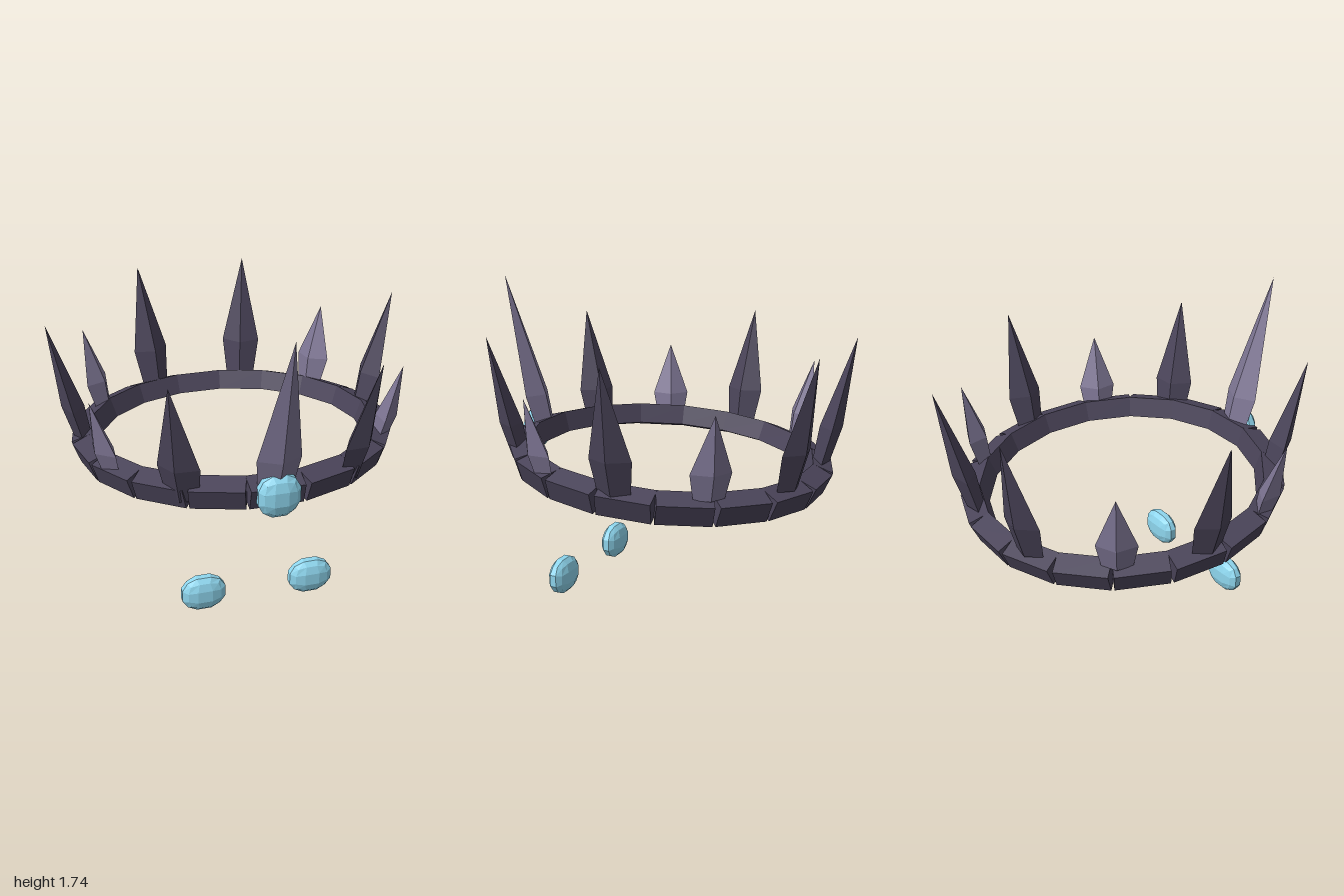
import * as THREE from 'three';

const flat = (color) => new THREE.MeshStandardMaterial({ color, flatShading: true });
const CENTER_Z = -0.065; // centre of the ring

// Faceted gem: a 3x3x3 box pushed onto an ellipsoid with the given half sizes
function gem(name, material, x, y, z, hx, hy, hz) {
  const geo = new THREE.BoxGeometry(2, 2, 2, 3, 3, 3);
  const p = geo.attributes.position;
  const v = new THREE.Vector3();
  for (let i = 0; i < p.count; i++) {
    v.fromBufferAttribute(p, i).normalize().divideScalar(0.905);
    p.setXYZ(i, v.x * hx, v.y * hy, v.z * hz);
  }
  geo.computeVertexNormals();
  const mesh = new THREE.Mesh(geo, material);
  mesh.name = name;
  mesh.position.set(x, y, z);
  return mesh;
}

// Four-sided spike, flattened front to back and leaning outward to its tip
function spike(name, material, tipX, tipY, tipZ, baseY, baseRadius, halfWidth, shoulder) {
  const angle = Math.atan2(tipX, tipZ - CENTER_Z);
  const tipRadius = Math.hypot(tipX, tipZ - CENTER_Z);
  const height = tipY - baseY;
  const geo = new THREE.LatheGeometry([
    new THREE.Vector2(0, 0),
    new THREE.Vector2(halfWidth * 0.76, 0),
    new THREE.Vector2(halfWidth, shoulder),
    new THREE.Vector2(0, height),
  ], 4);
  const p = geo.attributes.position;
  const lean = (tipRadius - baseRadius) / height;
  for (let i = 0; i < p.count; i++) p.setZ(i, p.getZ(i) * 0.55 + p.getY(i) * lean);
  geo.computeVertexNormals();
  const mesh = new THREE.Mesh(geo, material);
  mesh.name = name;
  mesh.rotation.y = angle;
  mesh.position.set(Math.sin(angle) * baseRadius, baseY, CENTER_Z + Math.cos(angle) * baseRadius);
  return mesh;
}

export function createModel() {
  const model = new THREE.Group();
  model.name = 'spikedCrown';
  const dark = flat(0x4a4459);
  const pale = flat(0x7d7593);
  const blue = flat(0x8ed6ee);

  // Tilted ring of 18 blocks, each rolled slightly outward
  const ring = new THREE.Group();
  ring.name = 'ring';
  ring.position.set(0, 0.795, CENTER_Z);
  ring.rotation.x = -0.077;
  const block = new THREE.BoxGeometry(0.282, 0.118, 0.118);
  for (let i = 0; i < 18; i++) {
    const a = (i / 18) * Math.PI * 2;
    const mesh = new THREE.Mesh(block, dark);
    mesh.name = 'ringBlock';
    mesh.position.set(Math.sin(a) * 0.81, 0, Math.cos(a) * 0.81);
    mesh.rotation.order = 'YXZ';
    mesh.rotation.y = a;
    mesh.rotation.x = 0.35;
    ring.add(mesh);
  }
  model.add(ring);

  // Tall front spike with its gem
  model.add(spike('frontSpike', pale, 0, 1.74, 1.0, 0.82, 0.805, 0.115, 0.24));
  model.add(gem('frontGem', blue, 0, 0.86, 0.805, 0.11, 0.115, 0.062));

  // Mirrored side and back spikes: tip, base height, half width, shoulder height
  const pairs = [
    ['largeSpike', dark, 0.53, 1.48, 0.77, 0.81, 0.112, 0.2],
    ['smallSpike', pale, 0.84, 1.25, 0.34, 0.82, 0.105, 0.14],
    ['largeSpike', dark, 0.98, 1.48, -0.17, 0.81, 0.112, 0.2],
    ['smallSpike', pale, 0.73, 1.25, -0.64, 0.81, 0.105, 0.14],
    ['largeSpike', dark, 0.33, 1.48, -1.0, 0.79, 0.112, 0.2],
  ];
  for (const side of [1, -1]) {
    const label = side > 0 ? 'Left' : 'Right';
    for (const [name, mat, x, y, z, baseY, w, s] of pairs) {
      model.add(spike(name + label, mat, side * x, y, z, baseY, 0.825, w, s));
    }
    // Floating eyes below the crown
    model.add(gem('eye' + label, blue, side * 0.305, 0.1, 0.465, 0.12, 0.1, 0.055));
  }
  return model;
}
